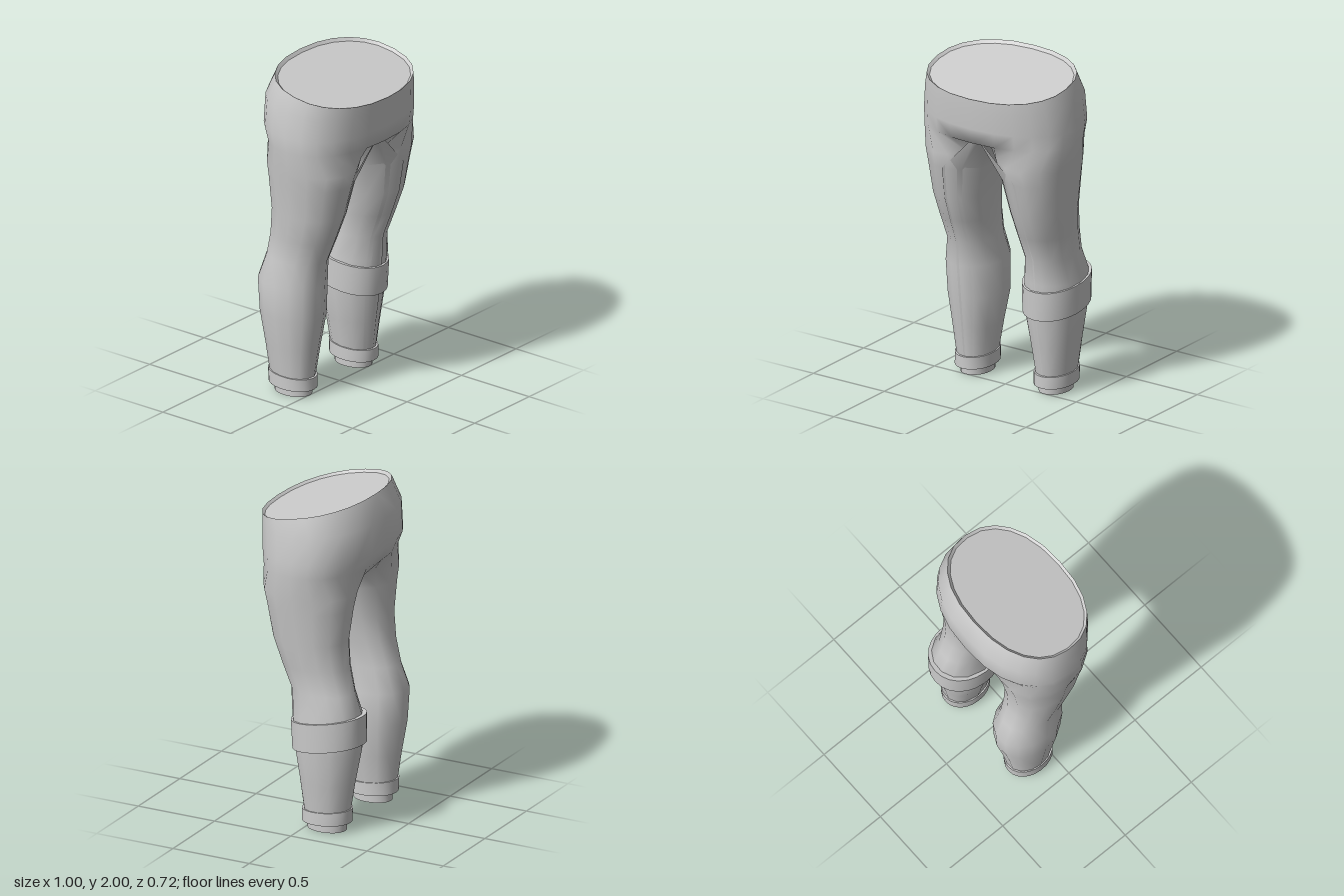
import * as THREE from 'three';
import { mergeGeometries, mergeVertices } from 'three/addons/utils/BufferGeometryUtils.js';

const material = new THREE.MeshStandardMaterial({ color: 0xcccccc });
const rad = THREE.MathUtils.degToRad;

// Point on a rounded cross-section: s = [y, xMin, xMax, zBack, zFront, slope of y along z]
function ringPoint(s, deg, power = 1) {
  const [y, x0, x1, z0, z1, slope = 0] = s;
  const soft = (v) => Math.sign(v) * Math.abs(v) ** power;
  const dz = soft(Math.cos(rad(deg))) * (z1 - z0) / 2;
  const dx = soft(Math.sin(rad(deg))) * (x1 - x0) / 2;
  return [(x0 + x1) / 2 + dx, y + slope * dz, (z0 + z1) / 2 + dz];
}

const fullRing = (s, power, n = 24) =>
  Array.from({ length: n + 1 }, (_, i) => ringPoint(s, (i % n) * 360 / n, power));

// Skin between rows of points, running downwards on the outside
function loft(rows, side = 1) {
  const n = rows[0].length;
  const positions = rows.flat().flatMap(([x, y, z]) => [x * side, y, z]);
  const index = [];
  for (let i = 0; i < rows.length - 1; i++) {
    for (let j = 0; j < n - 1; j++) {
      const a = i * n + j, b = a + 1, c = a + n, d = c + 1;
      if (side > 0) index.push(a, c, b, b, c, d);
      else index.push(a, b, c, b, d, c);
    }
  }
  const g = new THREE.BufferGeometry();
  g.setAttribute('position', new THREE.Float32BufferAttribute(positions, 3));
  g.setIndex(index);
  return g;
}

function smooth(parts) {
  const g = mergeVertices(mergeGeometries(parts), 1e-4);
  g.computeVertexNormals();
  return g;
}

// Each strip keeps its own normals, so the edges between strips stay sharp
function sharpBand(sections, power, side = 1) {
  const strips = [];
  for (let i = 0; i < sections.length - 1; i++) {
    strips.push(smooth([loft([fullRing(sections[i], power), fullRing(sections[i + 1], power)], side)]));
  }
  return mergeGeometries(strips);
}

// Grow or shrink a section, optionally shifting its height
function resize(s, d, dy = 0) {
  return [s[0] + dy, s[1] - d, s[2] + d, s[3] - d, s[4] + d, s[5] ?? 0];
}

const HIP_POWER = 0.88;
const waist = [1.935, -0.46, 0.46, -0.29, 0.36, -0.2];
const hips = [
  waist,
  [1.835, -0.485, 0.485, -0.352, 0.358, -0.07],
  [1.68, -0.5, 0.5, -0.355, 0.348],
  [1.59, -0.498, 0.498, -0.318, 0.335],
];
const crotch = [1.45, 0, 0.488, -0.28, 0.295];
const leg = [
  [1.36, 0.042, 0.472, -0.262, 0.268],
  [1.16, 0.09, 0.45, -0.24, 0.225],
  [1.0, 0.112, 0.432, -0.253, 0.165],
  [0.85, 0.13, 0.416, -0.288, 0.105],
  [0.7, 0.105, 0.449, -0.338, 0.093],
  [0.5, 0.102, 0.441, -0.327, 0.08],
  [0.3, 0.138, 0.414, -0.29, 0.048],
  [0.1, 0.17, 0.388, -0.26, 0.02],
];

// Outer side takes 12 steps around the leg, the inner thigh the last 4
const legAngles = Array.from({ length: 17 }, (_, j) => (j <= 12 ? -60 + 25 * j : 240 + 30 * (j - 12)));

function trouserHalf(side) {
  const hipRows = hips.map((s) => Array.from({ length: 13 }, (_, j) => ringPoint(s, j * 15, HIP_POWER)));
  const crotchRow = legAngles.map((deg, j) => {
    const [x, y, z] = ringPoint(crotch, deg);
    if (j === 0 || j >= 12) return [0, 1.485 + 1.6 * z * z, z]; // saddle on the centre line
    return [x, y + 0.07 * Math.max(0, 1 - x / 0.244), z];
  });
  const legRows = leg.map((s) => legAngles.map((deg) => ringPoint(s, deg, 0.96)));
  return [
    loft([...hipRows, crotchRow.slice(0, 13)], side),
    loft([crotchRow, ...legRows], side),
  ];
}

export function createModel() {
  const model = new THREE.Group();
  const add = (name, geometry) => {
    const mesh = new THREE.Mesh(geometry, material);
    mesh.name = name;
    model.add(mesh);
  };

  // Hips and both legs as one smooth skin
  add('trousers', smooth([...trouserHalf(1), ...trouserHalf(-1)]));

  // Slightly sunken lid inside the waist edge
  const lid = resize(waist, -0.016, -0.016);
  const lidCentre = [lid[0], 0, 0, 0.035, 0.035, 0];
  add('waistLid', sharpBand([lidCentre, lid, waist], HIP_POWER));

  for (const side of [1, -1]) {
    const label = side > 0 ? 'left' : 'right';
    // Ankle cuff with lips at the top and bottom
    const top = [0.128, 0.16, 0.397, -0.274, 0.034, -0.07];
    const bottom = [0.05, 0.16, 0.397, -0.27, 0.034, -0.04];
    add(label + 'AnkleCuff', sharpBand([
      resize(top, -0.03), resize(top, -0.006), top, bottom, resize(bottom, -0.06),
    ], 0.96, side));
    // Short stub under the ankle
    const stub = [0.06, 0.188, 0.364, -0.236, 0.002];
    const sole = [0, ...stub.slice(1)];
    add(label + 'FootStub', sharpBand([
      stub, sole, [0, 0.276, 0.276, -0.117, -0.117],
    ], 0.96, side));
  }

  // Wide tilted band on the left calf
  const bandTop = [0.693, 0.09, 0.458, -0.354, 0.1, -0.165];
  const bandBottom = [0.517, 0.09, 0.453, -0.354, 0.092, -0.165];
  add('leftCalfBand', sharpBand([
    resize(bandTop, -0.05), bandTop, bandBottom, resize(bandBottom, -0.05),
  ], 0.96));

  return model;
}
